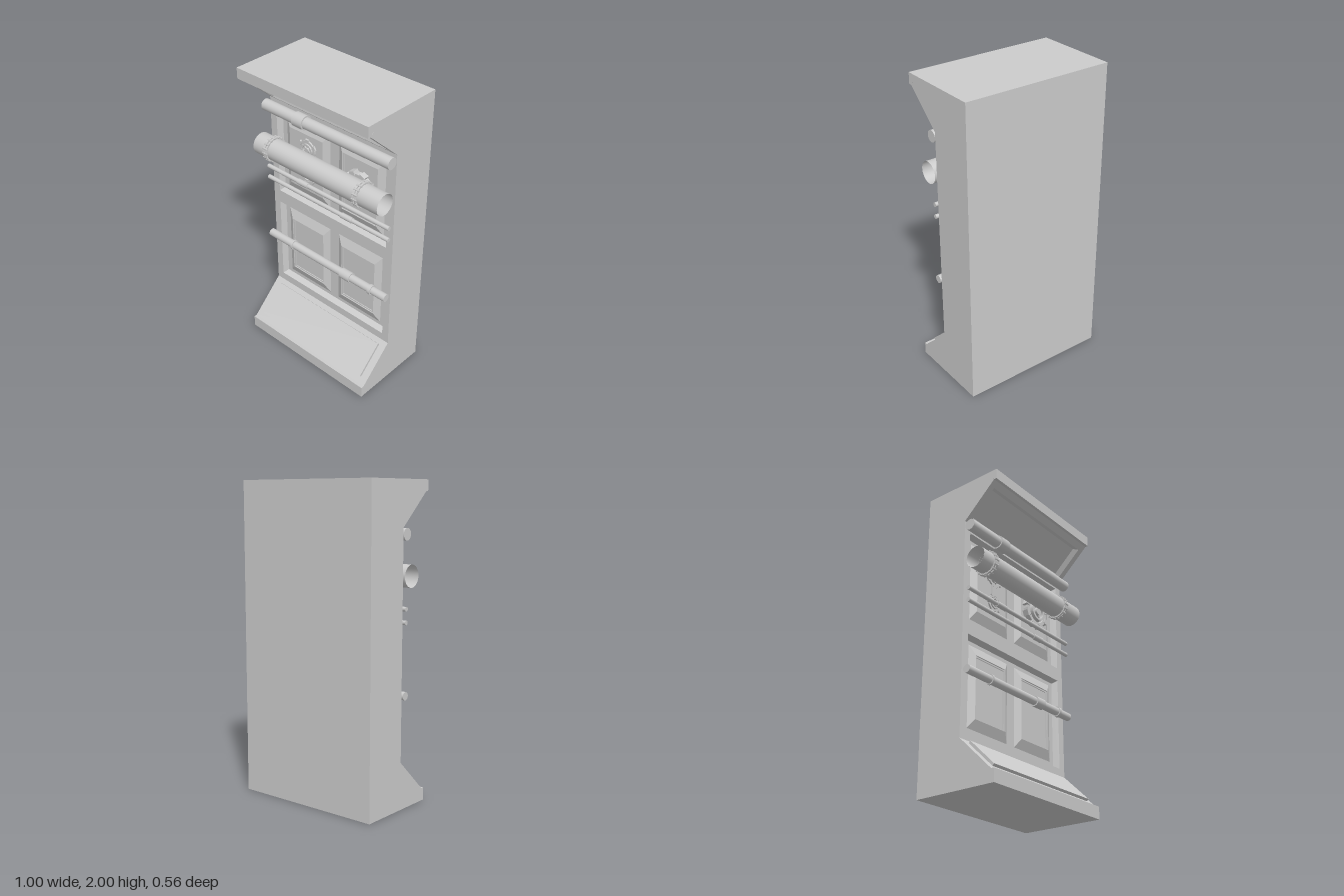
import * as THREE from 'three';

const grey = new THREE.MeshStandardMaterial({ color: 0xcccccc, side: THREE.DoubleSide });

function add(parent, name, geometry, x = 0, y = 0, z = 0) {
  const m = new THREE.Mesh(geometry, grey);
  m.name = name;
  m.position.set(x, y, z);
  parent.add(m);
  return m;
}

// Stepped rectangular relief: rings of [x0, x1, y0, y1, z], last one capped
function relief(rings) {
  const corners = ([x0, x1, y0, y1, z]) => [[x0, y0, z], [x1, y0, z], [x1, y1, z], [x0, y1, z]];
  const pos = [];
  const quad = (a, b, c, d) => pos.push(...a, ...b, ...c, ...a, ...c, ...d);
  for (let i = 0; i < rings.length - 1; i++) {
    const o = corners(rings[i]), n = corners(rings[i + 1]);
    for (let k = 0; k < 4; k++) quad(o[k], o[(k + 1) % 4], n[(k + 1) % 4], n[k]);
  }
  quad(...corners(rings[rings.length - 1]));
  const g = new THREE.BufferGeometry();
  g.setAttribute('position', new THREE.Float32BufferAttribute(pos, 3));
  g.computeVertexNormals();
  return g;
}

function rect(x0, x1, y0, y1, Type = THREE.Shape) {
  return new Type([[x0, y0], [x1, y0], [x1, y1], [x0, y1]].map(p => new THREE.Vector2(...p)));
}

// Plate with rectangular openings, front face at z = 0
function plate(outer, holes, depth) {
  const s = rect(...outer);
  holes.forEach(h => s.holes.push(rect(...h, THREE.Path)));
  return new THREE.ExtrudeGeometry(s, { depth, bevelEnabled: false }).translate(0, 0, -depth);
}

function rod(r, length, open = false) {
  return new THREE.CylinderGeometry(r, r, length, 32, 1, open).rotateZ(Math.PI / 2);
}

// Pipe running across the front, with collars [x, width, radius]
function pipe(parent, name, y, z, r, collars, open = false) {
  const g = new THREE.Group();
  g.name = name;
  g.position.set(0, y, z);
  add(g, 'pipeTube', rod(r, 1, open));
  collars.forEach(([x, w, cr]) => add(g, 'pipeCollar', rod(cr, w), x));
  parent.add(g);
  return g;
}

// Flat annulus
function annulus(r, inner, depth) {
  const s = new THREE.Shape().absarc(0, 0, r, 0, Math.PI * 2);
  s.holes.push(new THREE.Path().absarc(0, 0, inner, 0, Math.PI * 2, true));
  return new THREE.ExtrudeGeometry(s, { depth, bevelEnabled: false, curveSegments: 20 });
}

// Round fitting: rim, inner ring, hub and tabs around the edge
function fitting(parent, name, x, y, z, r, depth, tabs) {
  const g = new THREE.Group();
  g.name = name;
  g.position.set(x, y, z);
  add(g, 'rim', annulus(r, r * 0.76, depth * 0.7));
  add(g, 'innerRing', annulus(r * 0.66, r * 0.5, depth));
  add(g, 'hub', new THREE.CylinderGeometry(r * 0.25, r * 0.25, depth, 20).rotateX(Math.PI / 2), 0, 0, depth / 2);
  for (let i = 0; i < tabs; i++) {
    const a = (i + 0.5) / tabs * Math.PI * 2;
    const t = add(g, 'tab', new THREE.BoxGeometry(r * 0.28, r * 0.4, depth * 0.8), Math.cos(a) * r, Math.sin(a) * r, depth * 0.4);
    t.rotation.z = a;
    const s = add(g, 'spoke', new THREE.BoxGeometry(r * 0.75, r * 0.1, depth * 0.5), Math.cos(a) * r * 0.45, Math.sin(a) * r * 0.45, depth * 0.25);
    s.rotation.z = a;
  }
  parent.add(g);
}

export function createModel() {
  const root = new THREE.Group();
  root.name = 'wallModule';
  const wallZ = 0.03, floorZ = -0.01;

  // Body: side profile (z, y) extruded across the width
  const profile = [[-0.28, 0], [0.28, 0], [0.28, 0.08], [0.26, 0.08], [wallZ, 0.3], [floorZ, 0.3],
    [floorZ, 1.72], [wallZ, 1.72], [0.01, 1.742], [0.24, 1.952], [0.26, 1.93], [0.28, 1.93], [0.28, 2], [-0.28, 2]];
  const side = new THREE.Shape(profile.map(([z, y]) => new THREE.Vector2(-z, y)));
  add(root, 'body', new THREE.ExtrudeGeometry(side, { depth: 1, bevelEnabled: false })
    .translate(0, 0, -0.5).rotateY(Math.PI / 2));

  // Wall frame with two recessed bays
  const bays = [[-0.45, 0.45, 0.355, 0.96], [-0.45, 0.45, 1.05, 1.655]];
  add(root, 'wallFrame', plate([-0.5, 0.5, 0.3, 1.72], bays, wallZ - floorZ), 0, 0, wallZ);
  bays.forEach(([x0, x1, y0, y1], row) => {
    const b = 0.016;
    add(root, 'bayRecess', relief([[x0, x1, y0, y1, wallZ], [x0 + b, x1 - b, y0 + b, y1 - b, floorZ + 0.001]]));
    // Raised bevelled panels
    for (const s of [-1, 1]) {
      const cx = s * 0.217, cy = (y0 + y1) / 2;
      const ring = (w, h, z) => [cx - w, cx + w, cy - h, cy + h, z];
      const rings = [ring(0.183, 0.265, floorZ), ring(0.138, 0.202, 0.015)];
      if (row === 0 || s > 0) {
        rings.push(ring(0.136, 0.2, 0.015), ring(0.136, 0.2, 0.009),
          ring(0.126, 0.19, 0.009), ring(0.126, 0.19, 0.004));
      }
      add(root, 'raisedPanel', relief(rings));
    }
  });

  // Sloping canopy underside with a recess
  const canopy = new THREE.Group();
  canopy.name = 'canopy';
  canopy.position.set(0, 1.72, wallZ);
  canopy.rotation.x = Math.atan2(0.23, 0.21);
  const opening = [-0.46, 0.46, 0.02, 0.268];
  add(canopy, 'canopyFrame', plate([-0.5, 0.5, 0, 0.311], [opening], 0.03));
  add(canopy, 'canopyRecess', relief([[...opening, 0], [-0.44, 0.44, 0.04, 0.25, -0.029]]));
  root.add(canopy);

  // Raised plate on the sloping base
  const base = new THREE.Group();
  base.name = 'slopingBase';
  base.position.set(0, 0.08, 0.26);
  base.rotation.x = -Math.atan2(0.23, 0.22);
  add(base, 'basePlate', new THREE.BoxGeometry(0.9, 0.238, 0.03), 0, 0.164, 0.002);
  root.add(base);

  // Round fittings on the upper panels
  fitting(root, 'upperFitting', -0.2, 1.455, 0.014, 0.065, 0.016, 6);
  fitting(root, 'lowerFitting', -0.2, 1.268, 0.014, 0.055, 0.016, 5);
  add(root, 'fittingLink', new THREE.BoxGeometry(0.05, 0.08, 0.012), -0.2, 1.36, 0.02);
  fitting(root, 'largeFitting', 0.22, 1.375, 0.005, 0.098, 0.05, 8);

  // Pipes
  pipe(root, 'topPipe', 1.68, 0.07, 0.037, [[-0.197, 0.08, 0.046]]);
  pipe(root, 'thinPipeUpper', 1.237, 0.07, 0.014, [[-0.192, 0.085, 0.018]]);
  pipe(root, 'thinPipeLower', 1.155, 0.07, 0.014, [[0.175, 0.085, 0.018]]);
  pipe(root, 'lowerPipe', 0.708, 0.07, 0.026, [[-0.29, 0.012, 0.033], [0.177, 0.08, 0.034], [0.38, 0.022, 0.033]]);

  // Large hollow pipe with bolted flanges
  const large = pipe(root, 'largePipe', 1.43, 0.12, 0.07, [], true);
  for (const x of [-0.39, 0.335]) {
    for (const dx of [-0.014, 0.004]) {
      add(large, 'flange', annulus(0.08, 0.069, 0.01).rotateY(Math.PI / 2), x + dx);
    }
    for (let i = 0; i < 16; i++) {
      const a = i / 16 * Math.PI * 2;
      const bolt = add(large, 'flangeBolt', new THREE.CylinderGeometry(0.007, 0.007, 0.036, 6).rotateZ(Math.PI / 2),
        x, Math.cos(a) * 0.077, Math.sin(a) * 0.077);
      bolt.rotation.x = a;
    }
  }
  return root;
}
